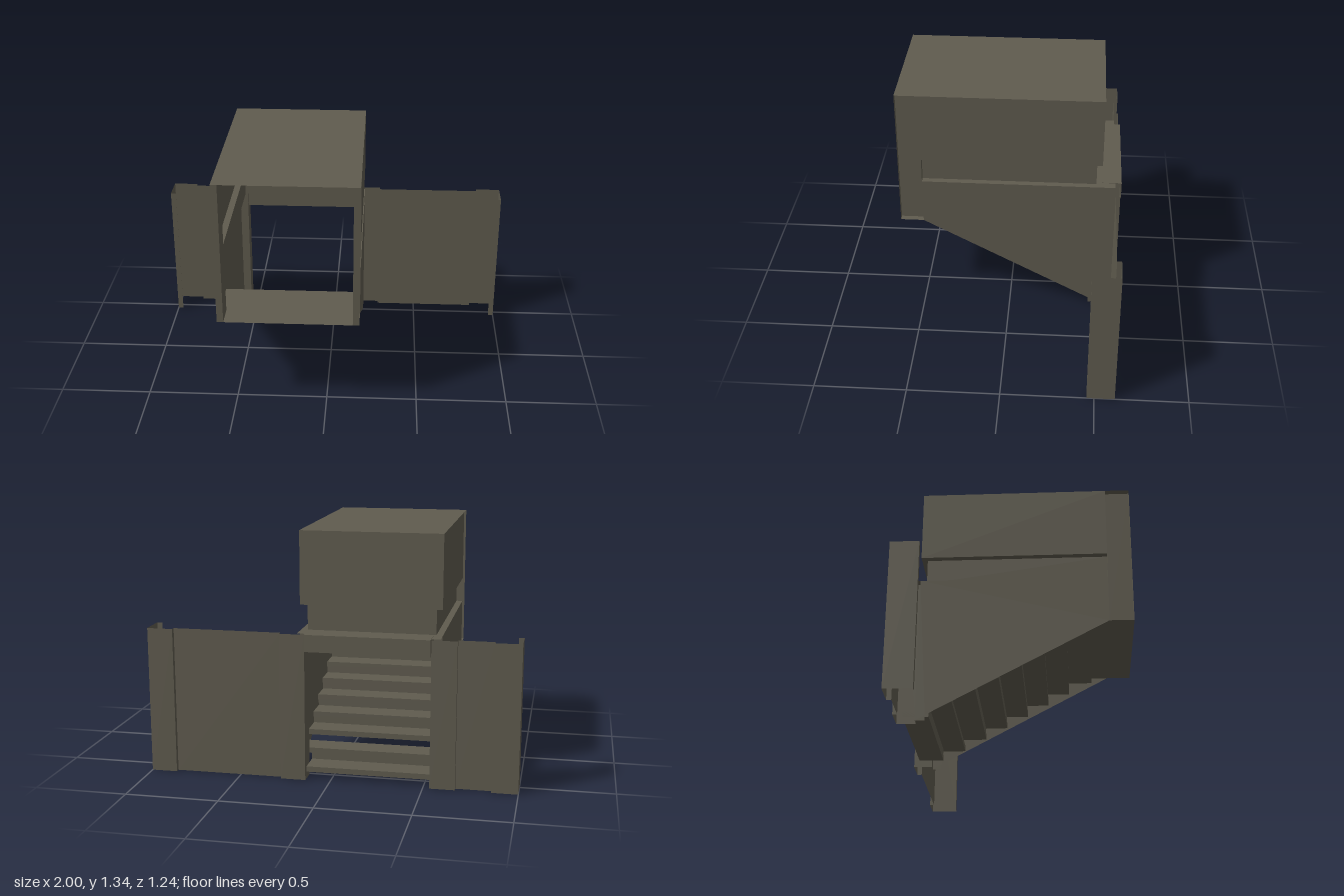
import * as THREE from 'three';

export function createModel() {
  const model = new THREE.Group();
  model.name = 'stairwayEntrance';
  const drab = new THREE.MeshStandardMaterial({ color: 0x605c4f, side: THREE.DoubleSide });
  drab.name = 'drabOlive';

  const add = (name, geometry) => {
    const mesh = new THREE.Mesh(geometry, drab);
    mesh.name = name;
    model.add(mesh);
    return mesh;
  };
  // sheet panels facing z, x and y
  const panelZ = (name, x0, x1, y0, y1, z, back = false) => {
    const g = new THREE.PlaneGeometry(Math.abs(x1 - x0), y1 - y0);
    if (back) g.rotateY(Math.PI);
    return add(name, g.translate((x0 + x1) / 2, (y0 + y1) / 2, z));
  };
  const panelX = (name, z0, z1, y0, y1, x, dir) =>
    add(name, new THREE.PlaneGeometry(z1 - z0, y1 - y0).rotateY(dir * Math.PI / 2)
      .translate(x, (y0 + y1) / 2, (z0 + z1) / 2));
  const panelY = (name, x0, x1, z0, z1, y, dir = 1) =>
    add(name, new THREE.PlaneGeometry(Math.abs(x1 - x0), z1 - z0).rotateX(-dir * Math.PI / 2)
      .translate((x0 + x1) / 2, y, (z0 + z1) / 2));
  const box = (name, x0, x1, y0, y1, z0, z1) =>
    add(name, new THREE.BoxGeometry(x1 - x0, y1 - y0, z1 - z0)
      .translate((x0 + x1) / 2, (y0 + y1) / 2, (z0 + z1) / 2));

  const cx = -0.2, half = 0.38, inner = 0.345, jamb = 0.335;
  const top = 1.335, upper = 0.94, ledge = 0.8, landing = 0.54;

  // roof, rear walls and ledges of the housing
  panelY('roof', cx - half, cx + half, -0.51, 0.62, top);
  panelZ('upperRearWall', cx - half, cx + half, upper, top, -0.51, true);
  panelY('rearOverhang', cx - half, cx + half, -0.51, -0.48, upper, -1);
  panelZ('rearBand', cx - inner, cx + inner, ledge, upper, -0.48, true);
  panelY('rearLedge', cx - half, cx + half, -0.585, -0.48, ledge);
  box('doorLintel', cx - jamb + 0.003, cx + jamb - 0.003, 0.71, ledge + 0.002, -0.62, -0.51);

  for (const s of [-1, 1]) {
    const at = (d) => cx + s * d;
    const end = s;

    // housing side: overhanging top, recessed band, sloping lower wall
    panelX('upperSideWall', -0.51, 0.49, upper, top, at(half), s);
    panelY('sideOverhang', at(inner), at(half), -0.48, 0.49, upper, -1);
    panelX('sideBand', -0.48, 0.49, ledge, upper, at(inner), s);
    panelY('sideLedge', at(inner), at(half), -0.48, 0.49, ledge);
    const outline = new THREE.Shape([
      [-0.49, landing], [0.46, 0.03], [0.46, 0], [0.51, 0], [0.51, ledge], [-0.49, ledge],
    ].map(([x, y]) => new THREE.Vector2(x, y)));
    add('lowerSideWall', new THREE.ShapeGeometry(outline).rotateY(Math.PI / 2)
      .translate(at(half), 0, 0));

    // outward channel framing the front opening
    panelZ('frontFlange', at(inner), at(half), landing, top, 0.62);
    panelX('frameWeb', 0.49, 0.62, landing, top, at(inner), s);
    panelZ('frameReturn', at(inner), at(half), landing, top, 0.49);

    // doorway pilaster
    const p = at(0.47);
    panelZ('pilasterFace', at(jamb), p, 0, ledge, -0.61, true);
    panelX('doorReveal', -0.61, -0.51, 0, ledge, at(jamb), -s);
    panelZ('pilasterReturn', at(jamb), at(half), 0, ledge, -0.51);
    panelX('pilasterSide', -0.61, -0.585, 0, ledge, p, s);

    // wing panel with a channel-shaped end post
    panelZ('wingPanel', p, end - s * 0.14, 0, ledge, -0.585, true);
    panelX('postInnerSide', -0.61, -0.585, 0, ledge, end - s * 0.14, -s);
    panelZ('postFace', end - s * 0.14, end, 0, ledge, -0.61, true);
    panelX('postOuterSide', -0.61, -0.46, 0, ledge, end, s);
    panelZ('postReturn', end - s * 0.03, end, 0, ledge, -0.46);
  }

  // stair flight climbing from the doorway to the front landing
  const rise = landing / 8, run = 0.119;
  for (let i = 0; i < 7; i++) {
    const w = i === 0 ? jamb : half - 0.002;
    const y = rise * (i + 1), z = -0.58 + run * i;
    box('tread', cx - w, cx + w, y - 0.03, y, z, z + run + 0.015);
    if (i !== 1) {
      panelZ('riser', cx - w, cx + w, y, y + rise - 0.03, z + run + 0.013, true);
    }
  }
  box('landing', cx - half + 0.002, cx + half - 0.002, landing - 0.03, landing, 0.253, 0.4);
  panelY('landingFloor', cx - half, cx + half, 0.4, 0.62, landing);

  return model;
}
